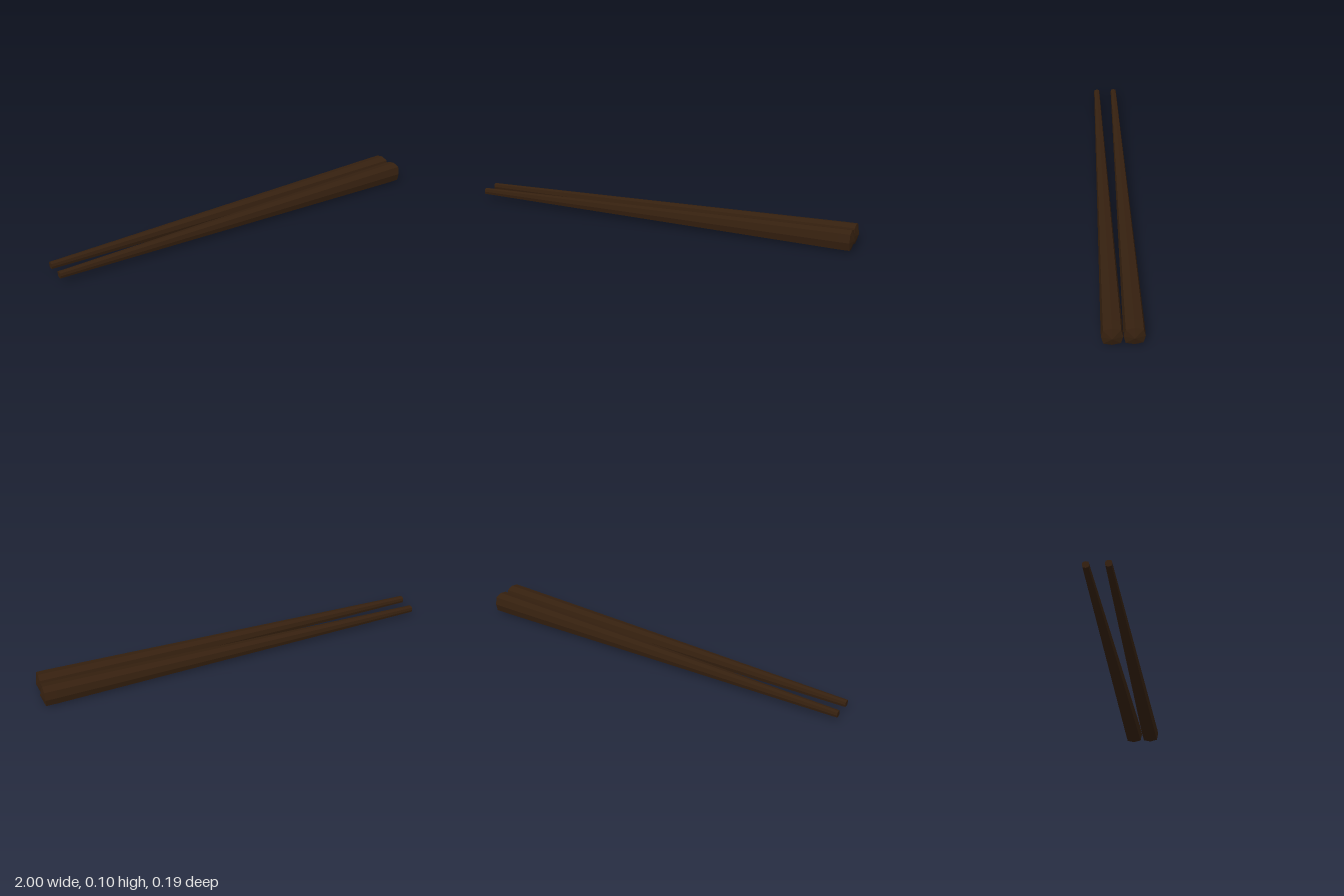
import * as THREE from 'three';

const wood = new THREE.MeshStandardMaterial({ color: 0x35200f, flatShading: true });

// Eight-sided tapered stick: flat narrow tip, wide handle with a shallow pointed cap
function stickGeometry() {
  const profile = [[0, -1], [0.016, -1], [0.049, 0.93], [0.049, 0.985], [0, 1]]
    .map(([r, y]) => new THREE.Vector2(r, y));
  const geo = new THREE.LatheGeometry(profile, 8);
  const p = geo.attributes.position;
  // Push the diagonal corners outward so the section is a softly bulged square
  for (let i = 0; i < p.count; i++) {
    const x = p.getX(i), z = p.getZ(i);
    const k = Math.abs(x * z) > 1e-6 ? 1.14 : 1;
    p.setXYZ(i, x * k, p.getY(i), z * k * 0.975);
  }
  geo.rotateZ(-Math.PI / 2);
  geo.computeVertexNormals();
  return geo;
}

export function createModel() {
  const group = new THREE.Group();
  group.name = 'chopsticks';
  const geo = stickGeometry();
  for (const side of [1, -1]) {
    const stick = new THREE.Mesh(geo, wood);
    stick.name = side > 0 ? 'frontChopstick' : 'backChopstick';
    stick.position.set(0, 0.05, side * 0.0485);
    group.add(stick);
  }
  return group;
}
